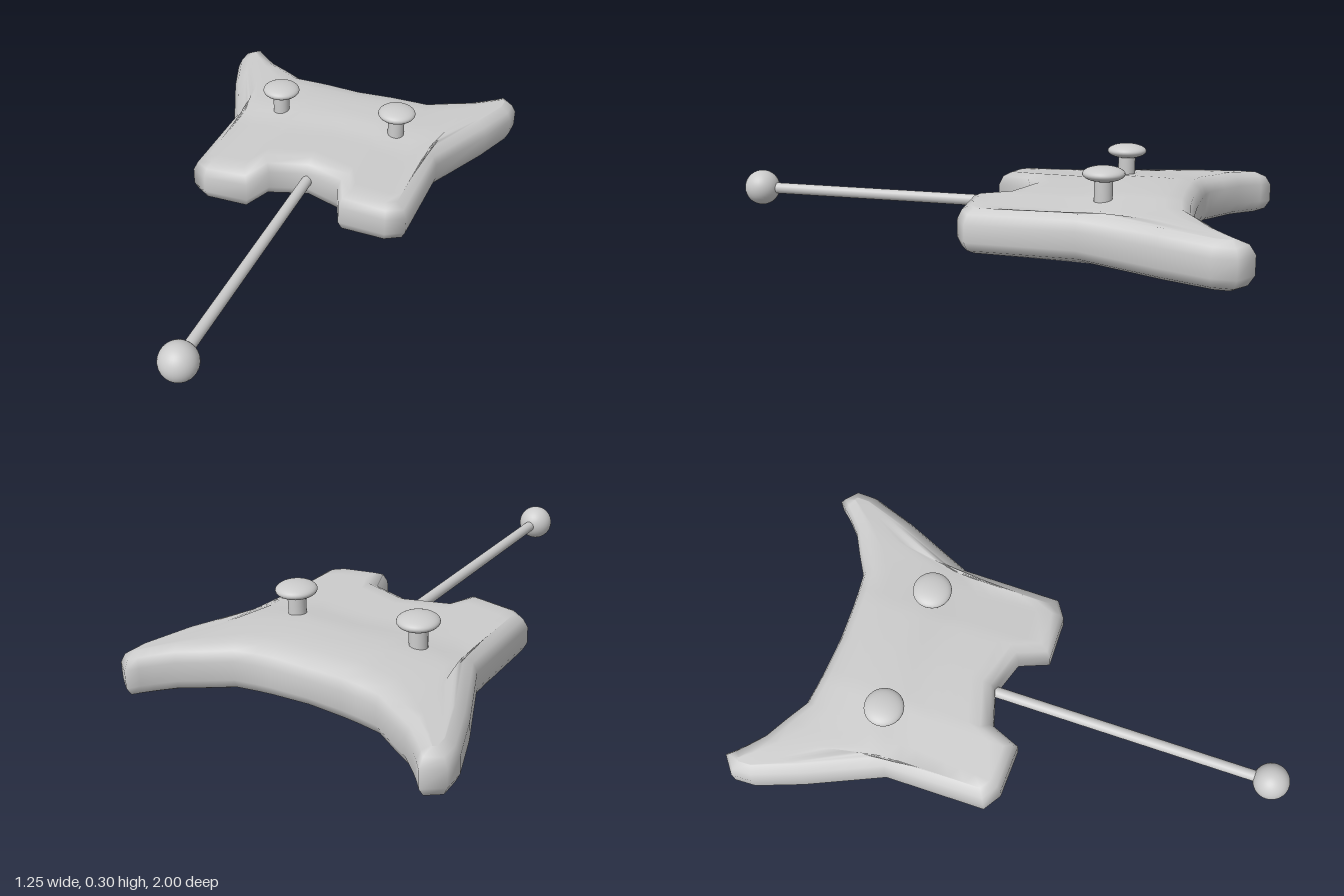
import * as THREE from 'three';
import { mergeVertices } from 'three/addons/utils/BufferGeometryUtils.js';

const material = new THREE.MeshStandardMaterial({ color: 0xcccccc });

// Ribs across the right half of the plate: front x, z, then back x, z
const RIBS = [
  [0, -0.143, 0, -0.77], [0.14, -0.1, 0.14, -0.775], [0.185, 0.012, 0.2, -0.78],
  [0.365, 0.007, 0.28, -0.79], [0.432, -0.037, 0.36, -0.838], [0.435, -0.42, 0.445, -0.885],
  [0.56, -0.7, 0.5, -0.935], [0.622, -0.87, 0.53, -0.965], [0.625, -0.95, 0.56, -1],
];
// Rounded rim: inset from the outline, fraction of the height
const RIM = [[0.045, 0], [0.015, 0.1], [0, 0.3], [0, 0.7], [0.015, 0.9], [0.045, 1]];
const CROWN = [[0, 0.2], [0.17, 0.2], [0.25, 0.19], [0.5, 0.17], [0.63, 0.155]];

function topHeight(x, z) {
  const ax = Math.min(Math.abs(x), 0.629);
  const k = CROWN.findIndex((c) => c[0] > ax);
  const [a, b] = [CROWN[k - 1], CROWN[k]];
  const crown = a[1] + (b[1] - a[1]) * (ax - a[0]) / (b[0] - a[0]);
  const front = 0.015 * THREE.MathUtils.smoothstep(z, -0.52, -0.38);
  const back = 0.02 * THREE.MathUtils.smoothstep(-z, 0.62, 0.8) * Math.max(0, 1 - ax / 0.45);
  return crown - front - back;
}
const bottomHeight = (x) => Math.max(0, 0.018 - 0.03 * Math.abs(x));

function plateGeometry() {
  const ribs = [...RIBS.slice(1).reverse().map(([a, b, c, d]) => [-a, b, -c, d]), ...RIBS];
  const n = ribs.length;
  const outline = [
    ...ribs.map((r) => new THREE.Vector2(r[0], r[1])),
    ...ribs.map((r) => new THREE.Vector2(r[2], r[3])).reverse(),
  ];
  const count = outline.length;

  // Mitred outward normals of the outline
  const edgeNormal = (i) => {
    const d = outline[(i + 1) % count].clone().sub(outline[i % count]).normalize();
    return new THREE.Vector2(-d.y, d.x);
  };
  const mitres = outline.map((_, i) => {
    const a = edgeNormal(i + count - 1), b = edgeNormal(i);
    return a.clone().add(b).divideScalar(Math.max(0.6, 1 + a.dot(b)));
  });
  const place = (p, f) => {
    const low = bottomHeight(p.x);
    return [p.x, low + (topHeight(p.x, p.y) - low) * f, p.y];
  };
  const inset = (i, d) => outline[i].clone().addScaledVector(mitres[i], -d);

  const positions = [];
  const quad = (a, b, c, d) => positions.push(...a, ...b, ...c, ...a, ...c, ...d);

  // Rounded side walls
  for (let k = 0; k < RIM.length - 1; k++) {
    for (let i = 0; i < count; i++) {
      const j = (i + 1) % count;
      const [lo, hi] = [RIM[k], RIM[k + 1]];
      quad(place(inset(i, lo[0]), lo[1]), place(inset(j, lo[0]), lo[1]),
        place(inset(j, hi[0]), hi[1]), place(inset(i, hi[0]), hi[1]));
    }
  }
  // Top and bottom skins, spanned along the ribs
  const steps = 12;
  const skin = (i, s, f) => place(
    inset(i, RIM[0][0]).lerp(inset(count - 1 - i, RIM[0][0]), s / steps), f);
  for (let i = 0; i < n - 1; i++) {
    for (let s = 0; s < steps; s++) {
      quad(skin(i, s, 1), skin(i + 1, s, 1), skin(i + 1, s + 1, 1), skin(i, s + 1, 1));
      quad(skin(i, s, 0), skin(i, s + 1, 0), skin(i + 1, s + 1, 0), skin(i + 1, s, 0));
    }
  }
  let geometry = new THREE.BufferGeometry();
  geometry.setAttribute('position', new THREE.Float32BufferAttribute(positions, 3));
  geometry = mergeVertices(geometry, 1e-4);
  geometry.computeVertexNormals();
  return geometry;
}

export function createModel() {
  const model = new THREE.Group();
  const add = (name, geometry, x, y, z, parent = model) => {
    const mesh = new THREE.Mesh(geometry, material);
    mesh.name = name;
    mesh.position.set(x, y, z);
    parent.add(mesh);
    return mesh;
  };

  add('plate', plateGeometry(), 0, 0, 0);

  // Mushroom knobs on top
  for (const side of [-1, 1]) {
    const knob = new THREE.Group();
    knob.name = side > 0 ? 'leftKnob' : 'rightKnob';
    knob.position.set(side * 0.245, 0, -0.475);
    add('knobStem', new THREE.CylinderGeometry(0.032, 0.032, 0.12, 32), 0, 0.21, 0, knob);
    add('knobCap', new THREE.SphereGeometry(0.073, 32, 20), 0, 0.278, 0, knob).scale.y = 0.37;
    model.add(knob);
  }

  // Rod with a ball at its front end
  const rod = add('rod', new THREE.CylinderGeometry(0.021, 0.021, 1.1, 24), 0, 0.105, 0.35);
  rod.rotation.x = Math.PI / 2;
  add('rodBall', new THREE.SphereGeometry(0.068, 32, 20), 0, 0.105, 0.932);

  return model;
}
